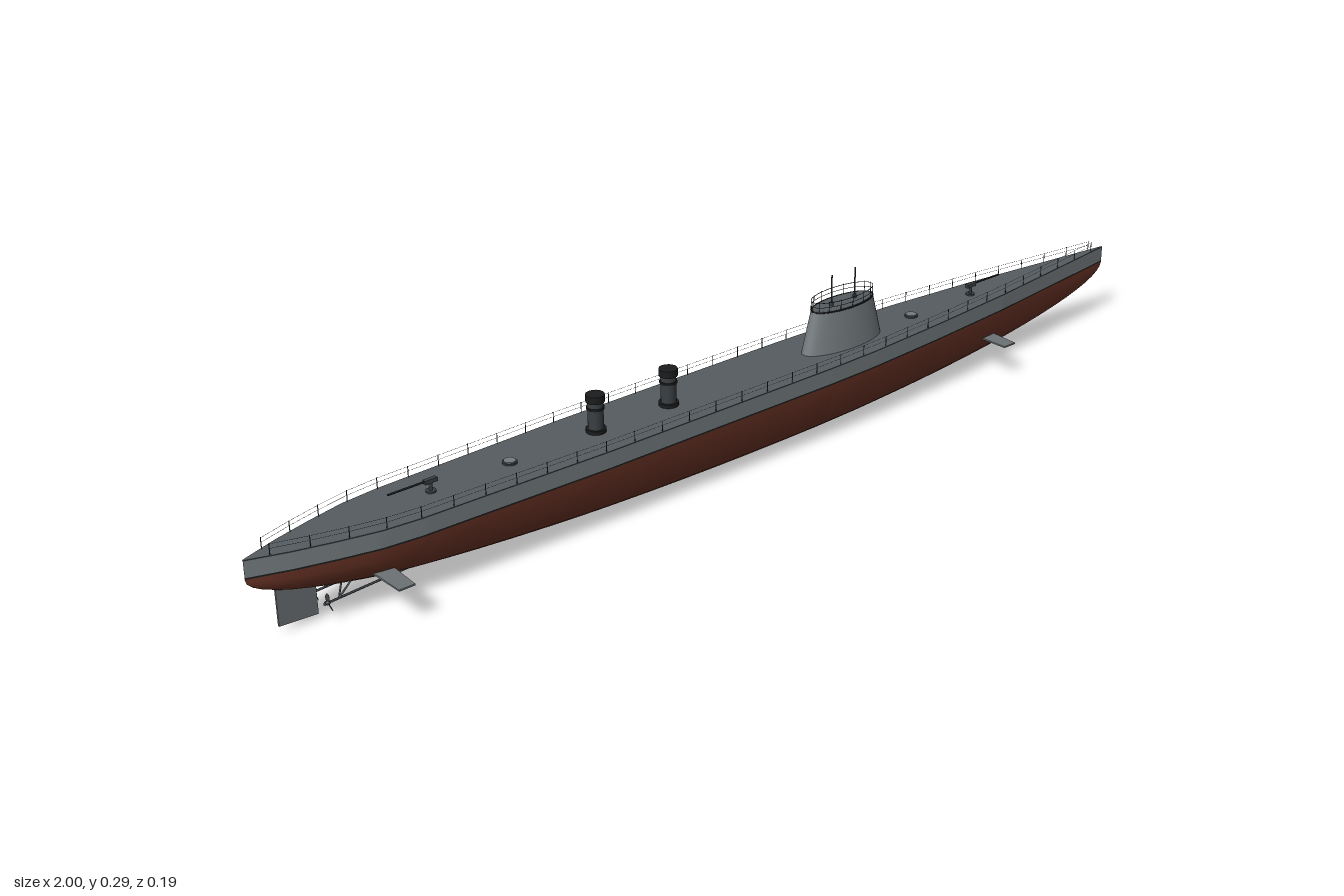
import * as THREE from 'three';

const ZC = -0.017, DECK = 0.15, WATER = 0.116;
const mat = (name, color, side = THREE.FrontSide) => {
  const m = new THREE.MeshStandardMaterial({ color, side });
  m.name = name;
  return m;
};

// half width of the hull along its length
const PLAN = [[-1, 0.001], [-0.93, 0.025], [-0.86, 0.044], [-0.79, 0.06], [-0.72, 0.067], [-0.35, 0.077],
  [0.16, 0.077], [0.27, 0.074], [0.45, 0.062], [0.65, 0.044], [1, 0.001]];
function halfWidth(x) {
  for (let i = 1; i < PLAN.length; i++) {
    const [x0, w0] = PLAN[i - 1], [x1, w1] = PLAN[i];
    if (x <= x1) return w0 + (w1 - w0) * (x - x0) / (x1 - x0);
  }
  return 0.001;
}
const STATIONS = [...Array.from({ length: 41 }, (_, i) => -Math.cos(Math.PI * i / 40)), ...PLAN.map(p => p[0])]
  .sort((a, b) => a - b).filter((x, i, a) => i === 0 || x - a[i - 1] > 1e-4);

// skin a strip of cross-sections; section(x) gives [y, z] pairs
function loft(section) {
  const pos = [], index = [], n = section(0).length;
  STATIONS.forEach((x, i) => {
    section(x).forEach(([y, z], j) => {
      pos.push(x, y, z + ZC);
      if (i && j) {
        const d = pos.length / 3 - 1, b = d - n;
        index.push(b - 1, b, d - 1, b, d, d - 1);
      }
    });
  });
  const g = new THREE.BufferGeometry();
  g.setAttribute('position', new THREE.Float32BufferAttribute(pos, 3));
  g.setIndex(index);
  g.computeVertexNormals();
  return g;
}

export function createModel() {
  const root = new THREE.Group();
  const red = mat('antifouling red', 0x6b3426), grey = mat('hull grey', 0x747b7e), deckGrey = mat('deck grey', 0x565c60);
  const black = mat('black', 0x1b1c1d), dark = mat('dark metal', 0x3a3f42);
  const plate = mat('plate grey', 0x6c7275);

  const add = (name, geo, material, x = 0, y = 0, z = 0, parent = root) => {
    const m = new THREE.Mesh(geo, material);
    m.name = name;
    m.position.set(x, y, z);
    parent.add(m);
    return m;
  };
  const group = (name) => {
    const g = new THREE.Group();
    g.name = name;
    root.add(g);
    return g;
  };
  // thin round bar between two points
  const bar = (name, a, b, r, material, parent = root, sides = 6) => {
    const p = new THREE.Vector3(...a), q = new THREE.Vector3(...b), d = q.clone().sub(p);
    const m = add(name, new THREE.CylinderGeometry(r, r, d.length(), sides), material, 0, 0, 0, parent);
    m.position.copy(p).add(q).multiplyScalar(0.5);
    m.quaternion.setFromUnitVectors(new THREE.Vector3(0, 1, 0), d.normalize());
    return m;
  };

  // hull: half-ellipse bottom, straight sides, flat deck
  add('lowerHull', loft(x => {
    const w = halfWidth(x), d = 0.001 + 0.114 * Math.sqrt(Math.max(0, 1 - x * x));
    return Array.from({ length: 11 }, (_, j) => {
      const t = Math.PI * j / 10;
      return [WATER - d * Math.sin(t), w * Math.cos(t)];
    });
  }), red);
  const wall = (name, y0, y1, material) => {
    add(name + 'Left', loft(x => [[y1, halfWidth(x)], [y0, halfWidth(x)]]), material);
    add(name + 'Right', loft(x => [[y0, -halfWidth(x)], [y1, -halfWidth(x)]]), material);
  };
  wall('waterline', WATER, WATER + 0.003, black);
  wall('hullSide', WATER + 0.003, DECK - 0.002, grey);
  wall('deckEdge', DECK - 0.002, DECK, dark);
  add('deck', loft(x => [[DECK, -halfWidth(x)], [DECK, halfWidth(x)]]), deckGrey);

  // deck railing
  const rail = group('deckRailing');
  for (const s of [-1, 1]) {
    const at = (x, y) => [x, y, ZC + s * Math.max(0, halfWidth(x) - 0.002)];
    for (let i = 0; i <= 32; i++) {
      const x = -0.96 + i * 0.06;
      bar('railPost', at(x, DECK), at(x, 0.17), 0.0009, dark, rail, 4);
      if (i < 32) for (const y of [0.161, 0.169]) bar('railWire', at(x, y), at(x + 0.06, y), 0.0003, dark, rail, 3);
    }
  }

  // conning tower
  const tx = 0.252, top = 0.23, ax = 0.074, az = 0.029;
  const tower = group('conningTower');
  add('towerBody', new THREE.CylinderGeometry(0.78, 1, top - DECK, 40), grey, tx, (top + DECK) / 2, ZC, tower).scale.set(0.096, 1, 0.036);
  add('towerFloor', new THREE.CylinderGeometry(1, 1, 0.002, 40), deckGrey, tx, top, ZC, tower).scale.set(0.072, 1, 0.027);
  const ellipse = (name, y, r) => {
    const pts = Array.from({ length: 32 }, (_, i) => {
      const t = i * Math.PI / 16;
      return new THREE.Vector3(tx + ax * Math.cos(t), y, ZC + az * Math.sin(t));
    });
    add(name, new THREE.TubeGeometry(new THREE.CatmullRomCurve3(pts, true), 64, r, 5, true), black, 0, 0, 0, tower);
  };
  ellipse('towerRim', top, 0.0015);
  ellipse('towerRail', 0.24, 0.0005);
  ellipse('towerRail', 0.249, 0.0006);
  for (let i = 0; i < 16; i++) {
    const t = i * Math.PI / 8, x = tx + ax * Math.cos(t), z = ZC + az * Math.sin(t);
    bar('towerRailPost', [x, top, z], [x, 0.251, z], 0.0007, black, tower, 4);
  }
  for (const x of [0.225, 0.284]) {
    bar('periscope', [x, top, ZC], [x, 0.291, ZC], 0.0014, dark, tower, 8);
    bar('periscopeBase', [x, top, ZC], [x, 0.237, ZC], 0.004, dark, tower, 12);
  }

  // ventilator funnels
  for (const x of [-0.325, -0.165]) {
    const f = group('funnel');
    bar('funnelFoot', [x, DECK, ZC], [x, 0.157, ZC], 0.018, black, f, 16);
    bar('funnelBody', [x, DECK, ZC], [x, 0.21, ZC], 0.014, dark, f, 16);
    bar('funnelBand', [x, 0.193, ZC], [x, 0.197, ZC], 0.016, black, f, 16);
    bar('funnelCap', [x, 0.207, ZC], [x, 0.22, ZC], 0.017, black, f, 16);
  }

  // deck guns, pointing outward
  for (const [x, s] of [[-0.66, -1], [0.602, 1]]) {
    const g = group('deckGun');
    bar('gunBase', [x, DECK, ZC], [x, 0.153, ZC], 0.009, dark, g, 12);
    bar('gunPedestal', [x, DECK, ZC], [x, 0.17, ZC], 0.003, dark, g, 10);
    add('gunBreech', new THREE.BoxGeometry(0.024, 0.007, 0.008), dark, x, 0.17, ZC, g);
    bar('gunBarrel', [x, 0.171, ZC], [x + s * 0.08, 0.171, ZC], 0.0018, black, g, 8);
  }

  // deck hatches
  for (const x of [-0.505, 0.437]) {
    bar('hatchRim', [x, DECK, ZC], [x, 0.153, ZC], 0.013, dark, root, 20);
    bar('hatchLid', [x, DECK, ZC], [x, 0.155, ZC], 0.0105, grey, root, 20);
  }

  // diving planes, tapered towards the tip
  for (const [x, z0, z1] of [[-0.783, 0.015, 0.095], [0.618, 0.005, 0.08]]) {
    const s = new THREE.Shape([[-0.018, z0], [0.018, z0], [0.014, z1], [-0.016, z1]].map(p => new THREE.Vector2(...p)));
    const g = new THREE.ExtrudeGeometry(s, { depth: 0.003, bevelEnabled: false }).rotateX(Math.PI / 2);
    add('divingPlane', g, plate, x, 0.0695, 0);
  }

  // rudder
  const r = new THREE.Shape([[-0.952, 0.014], [-0.882, 0.01], [-0.882, 0.078], [-0.952, 0.095]].map(p => new THREE.Vector2(...p)));
  add('rudder', new THREE.ExtrudeGeometry(r, { depth: 0.004, bevelEnabled: false }), plate, 0, 0, ZC - 0.002);

  // twin propeller shafts
  for (const s of [-1, 1]) {
    const p = group('propeller'), z = ZC + s * 0.022;
    bar('shaft', [-0.875, 0.036, z], [-0.66, 0.047, z], 0.002, dark, p, 8);
    bar('strut', [-0.855, 0.037, z], [-0.83, 0.075, ZC], 0.0015, dark, p);
    bar('strut', [-0.855, 0.037, z], [-0.82, 0.08, ZC + s * 0.03], 0.0015, dark, p);
    add('hub', new THREE.SphereGeometry(0.004, 10, 8), dark, -0.875, 0.036, z, p);
    for (let i = 0; i < 3; i++) {
      const pivot = new THREE.Group();
      pivot.name = 'propellerBlade';
      pivot.position.set(-0.875, 0.036, z);
      pivot.rotation.x = i * Math.PI * 2 / 3;
      p.add(pivot);
      const b = add('blade', new THREE.SphereGeometry(1, 10, 8), dark, 0, 0.009, 0, pivot);
      b.scale.set(0.001, 0.008, 0.004);
      b.rotation.y = 0.5;
    }
  }
  return root;
}
